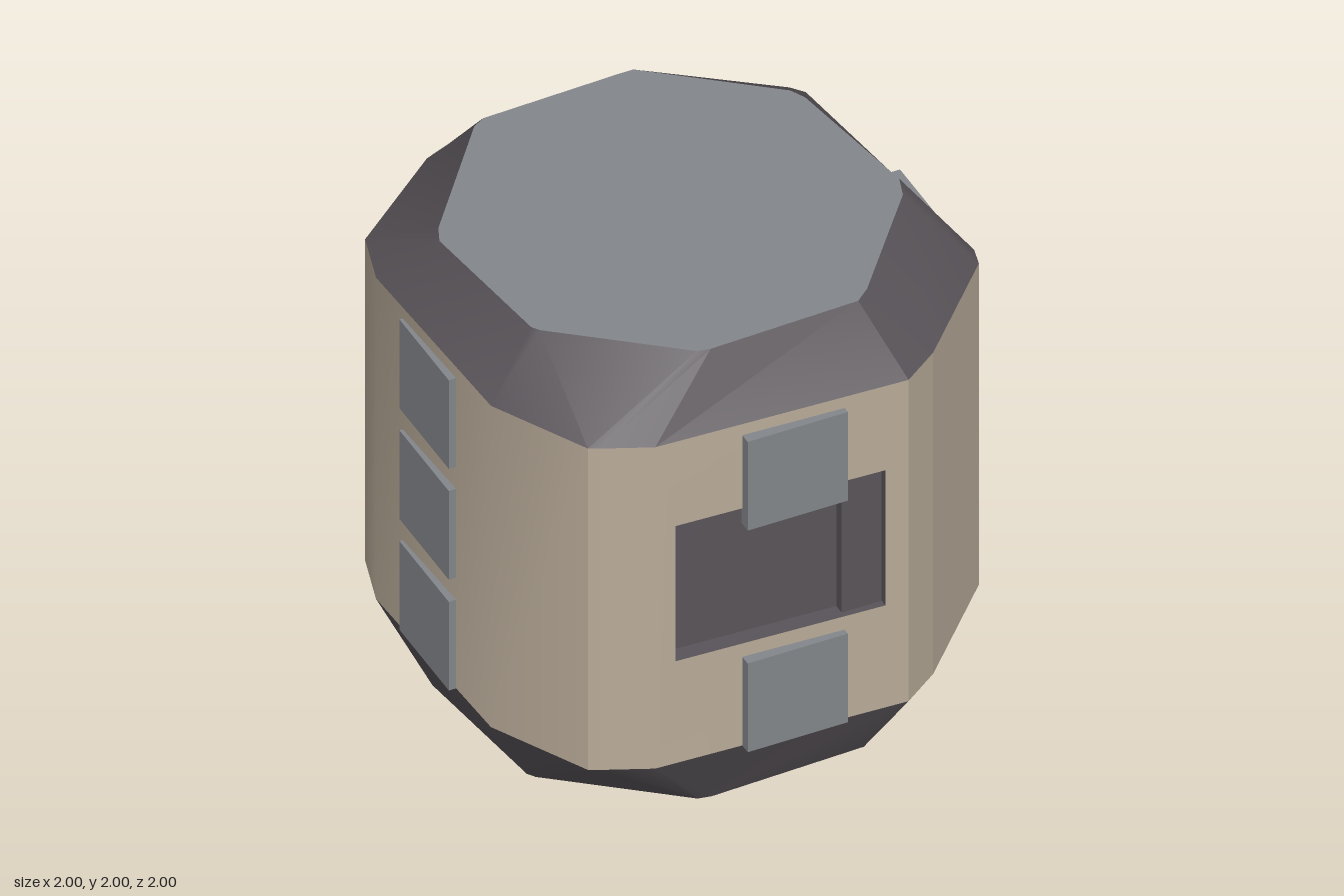
import * as THREE from 'three';
import { mergeGeometries, toCreasedNormals } from 'three/addons/utils/BufferGeometryUtils.js';

// Plan outline (x, z) of the eight-sided body, two points per corner, front to right to back to left
const OUTLINE = [
  [0.45, 0.985], [0.6, 0.88], [0.98, 0.48], [1, 0.4], [0.87, -0.7], [0.83, -0.75], [0.36, -0.975], [0.34, -0.985],
  [-0.44, -0.98], [-0.52, -0.95], [-0.93, -0.62], [-0.995, -0.4], [-0.96, 0.46], [-0.76, 0.84], [-0.72, 0.86], [-0.54, 0.94],
];
// Matching outline of the flat ends
const END = [
  [0.35, 0.78], [0.41, 0.73], [0.77, 0.29], [0.8, 0.2], [0.71, -0.38], [0.68, -0.44], [0.23, -0.8], [0.17, -0.8],
  [-0.38, -0.78], [-0.43, -0.75], [-0.81, -0.27], [-0.84, -0.2], [-0.77, 0.4], [-0.75, 0.43], [-0.3, 0.79], [-0.25, 0.8],
];
const LOW = 0.3, HIGH = 1.75;

const material = (name, color) => Object.assign(new THREE.MeshStandardMaterial({ color }), { name });
const ring = (points, y, s = 1) => points.map(([x, z]) => [x * s, y, z * s]);

// Side surface between two closed rings of 3D points
function loft(lower, upper) {
  const v = [];
  lower.forEach((p, i) => {
    const j = (i + 1) % lower.length;
    v.push(...p, ...lower[j], ...upper[j], ...p, ...upper[j], ...upper[i]);
  });
  const g = new THREE.BufferGeometry();
  g.setAttribute('position', new THREE.Float32BufferAttribute(v, 3));
  g.computeVertexNormals();
  return toCreasedNormals(g, 0.45);
}

// Flat polygon facing up (sign 1) or down (sign -1)
function endCap(points, y, s, sign) {
  const shape = new THREE.Shape(points.map(([x, z]) => new THREE.Vector2(x * s, -sign * z * s)));
  return new THREE.ShapeGeometry(shape).rotateX(-sign * Math.PI / 2).translate(0, y, 0);
}

export function createModel() {
  const shell = material('beige shell', 0xb9ab99);
  const dark = material('dark trim', 0x595459);
  const grey = material('grey plate', 0x83868a);
  const model = new THREE.Group();
  const add = (name, geometry, mat) => {
    const mesh = new THREE.Mesh(geometry, mat);
    mesh.name = name;
    model.add(mesh);
    return mesh;
  };
  const box = (name, [x0, x1], [y0, y1], [z0, z1], mat) =>
    add(name, new THREE.BoxGeometry(x1 - x0, y1 - y0, z1 - z0), mat)
      .position.set((x0 + x1) / 2, (y0 + y1) / 2, (z0 + z1) / 2);

  // Places a geometry drawn in a wall's own plane (x along the wall, z outward)
  const onWall = (geometry, i) => {
    const [ax, az] = OUTLINE[i], [bx, bz] = OUTLINE[(i + 1) % OUTLINE.length];
    return geometry.rotateY(Math.atan2(az - bz, bx - ax)).translate(ax, 0, az);
  };

  // Window openings: wall index and [left, right, bottom, top] in the wall's plane
  const windows = { 15: ['front', 0.08, 0.9, 0.76, 1.37], 7: ['back', 0.02, 0.72, 0.7, 1.36] };

  // Shell walls, with recessed windows at front and back
  const walls = OUTLINE.map(([ax, az], i) => {
    const [bx, bz] = OUTLINE[(i + 1) % OUTLINE.length];
    const w = Math.hypot(bx - ax, bz - az);
    const shape = new THREE.Shape([[0, LOW], [w, LOW], [w, HIGH], [0, HIGH]].map(p => new THREE.Vector2(...p)));
    if (windows[i]) {
      const [name, l, r, b, t] = windows[i];
      const corners = [[l, b], [l, t], [r, t], [r, b]];
      shape.holes.push(new THREE.Path(corners.map(p => new THREE.Vector2(...p))));
      const reveal = loft(corners.map(p => [...p, -0.08]), corners.map(p => [...p, 0]));
      add(name + 'WindowReveal', onWall(reveal, i), dark);
    }
    return onWall(new THREE.ShapeGeometry(shape), i);
  });
  add('shellWalls', toCreasedNormals(mergeGeometries(walls), 0.45), shell);
  add('innerCore', loft(ring(OUTLINE, LOW, 0.93), ring(OUTLINE, HIGH, 0.93)), dark);
  box('windowShutter', [0.2, 0.36], [0.76, 1.35], [0.88, 0.95], dark);

  // Sloping dark rims and flat ends
  add('upperRim', loft(ring(OUTLINE, HIGH), ring(END, 2)), dark);
  add('lowerRim', loft(ring(END, 0, 1.03), ring(OUTLINE, LOW)), dark);
  add('topCap', endCap(END, 2, 1, 1), grey);
  add('bottomCap', endCap(END, 0, 1.03, -1), grey);

  // Round dark inset on the right-hand wall
  const disc = new THREE.CircleGeometry(1, 48).scale(0.46, 0.39, 1).translate(0.579, 1.07, 0.005);
  add('roundInset', onWall(disc, 3), dark);

  // Square plates: two on front and back, three on each side
  const half = [-0.2, 0.2];
  for (const y of [0.3, 0.8, 1.3]) {
    const span = [y, y + 0.4];
    box('sidePlate', [0.95, 1], span, half, grey);
    box('sidePlate', [-1, -0.95], span, half, grey);
    if (y === 0.8) continue;
    box('frontPlate', half, span, [0.95, 1], grey);
    box('backPlate', half, span, [-0.99, -0.94], grey);
  }
  // Large plate over the back window
  box('backCover', [-0.3, 0.3], [0.7, 1.3], [-1, -0.93], grey);

  return model;
}
